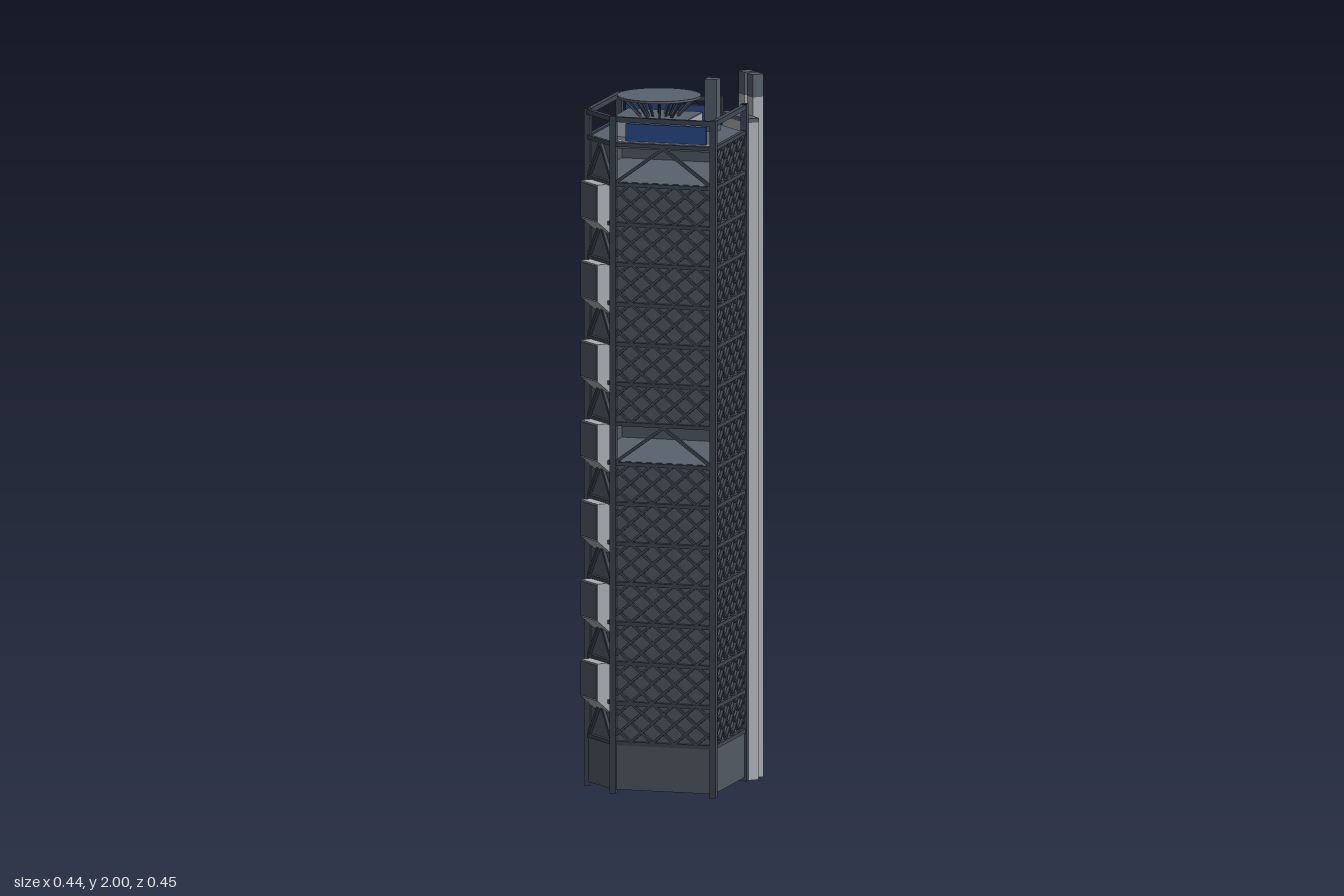
import * as THREE from 'three';
import { mergeGeometries } from 'three/addons/utils/BufferGeometryUtils.js';

const mat = (name, color) => Object.assign(new THREE.MeshStandardMaterial({ color }), { name });

export function createModel() {
  const frame = mat('dark steel', 0x3f4854);
  const panel = mat('slate wall', 0x535a64);
  const slate = mat('slate roof', 0x58616d);
  const pale = mat('pale concrete', 0xabafb3);
  const blue = mat('blue sign', 0x2c4c8c);

  const tower = new THREE.Group();
  tower.name = 'tower';
  const add = (parent, name, geo, material) => {
    const m = new THREE.Mesh(geo, material);
    m.name = name;
    parent.add(m);
    return m;
  };
  const box = (w, h, d, x, y, z) => new THREE.BoxGeometry(w, h, d).translate(x, y, z);
  // straight bar in a face plane
  const bar = (x1, y1, x2, y2, t, z = 0) =>
    new THREE.BoxGeometry(Math.hypot(x2 - x1, y2 - y1), t, t)
      .rotateZ(Math.atan2(y2 - y1, x2 - x1))
      .translate((x1 + x2) / 2, (y1 + y2) / 2, z);

  // six corner posts, counter-clockwise seen from above
  const corners = [[-0.212, 0.11], [-0.105, 0.217], [0.187, 0.217], [0.187, -0.09], [0.082, -0.198], [-0.212, -0.198]];
  const sides = ['boxedCorner', 'front', 'right', 'flueCorner', 'back', 'left'];
  const Y0 = 0.143, ROW = 0.1135, ROWS = 15, TOP = Y0 + ROW * ROWS, RAIL = 1.917;
  const openRows = { front: [7, 14], back: [6, 11] };

  add(tower, 'cornerPosts', mergeGeometries(corners.map(([x, z]) => box(0.018, 1.926, 0.018, x, 0.963, z))), frame);

  // solid six-sided slab
  const slab = (y, h) => {
    const s = new THREE.Shape(corners.map(([x, z]) => new THREE.Vector2(-0.012 + (x + 0.012) * 0.965, -(0.01 + (z - 0.01) * 0.965))));
    return new THREE.ExtrudeGeometry(s, { depth: h, bevelEnabled: false }).rotateX(-Math.PI / 2).translate(0, y, 0);
  };
  add(tower, 'base', slab(0.01, 0.133), panel);
  const floors = [];
  for (let i = 0; i < ROWS; i++) floors.push(slab(Y0 + i * ROW - 0.006, 0.012));
  add(tower, 'floors', mergeGeometries(floors), slate);
  add(tower, 'roof', slab(TOP - 0.012, 0.014), slate);

  // inverted V brace
  const vBrace = (w, y) => [bar(-w / 2, y, 0, y + ROW - 0.012, 0.009), bar(w / 2, y, 0, y + ROW - 0.012, 0.009)];

  // crossing diagonals clipped to one storey
  const lattice = (w, y) => {
    const h = ROW - 0.008, run = h * 1.15, out = [];
    for (const s of [1, -1]) {
      for (let c = -w / 2 - run + 0.035; c < w / 2; c += 0.064) {
        const a = Math.max(c, -w / 2), b = Math.min(c + run, w / 2);
        if (b - a < 0.01) continue;
        out.push(bar(s * a, y + ((a - c) / run) * h, s * b, y + ((b - c) / run) * h, 0.0075, s * 0.001));
      }
    }
    return out;
  };

  // box bay with a sloping underside
  const bayGeometry = (y) => {
    const s = new THREE.Shape([[-0.008, -0.035], [0.037, 0.004], [0.037, ROW - 0.004], [-0.008, ROW - 0.004]].map(([a, b]) => new THREE.Vector2(a, b)));
    return new THREE.ExtrudeGeometry(s, { depth: 0.098, bevelEnabled: false })
      .translate(0, 0, -0.049).rotateY(-Math.PI / 2).translate(0, y, 0);
  };

  sides.forEach((side, i) => {
    const [ax, az] = corners[i], [bx, bz] = corners[(i + 1) % 6];
    const len = Math.hypot(bx - ax, bz - az), w = len - 0.016;
    const g = new THREE.Group();
    g.name = side + 'Side';
    g.position.set((ax + bx) / 2, 0, (az + bz) / 2);
    g.rotation.y = Math.atan2(-(bz - az), bx - ax);
    tower.add(g);
    if (side === 'flueCorner') return;

    const walls = [box(w, 0.128, 0.006, 0, 0.075, 0)];
    const steel = [bar(-len / 2, RAIL, len / 2, RAIL, 0.014)];
    for (let r = 0; r <= ROWS; r++) {
      const y = Y0 + r * ROW;
      steel.push(bar(-len / 2, y, len / 2, y, 0.011));
      if (r === ROWS) break;
      const open = openRows[side]?.includes(r);
      if (!open) walls.push(box(w, ROW, 0.005, 0, y + ROW / 2, -0.008));
      if (side === 'boxedCorner' && r % 2) {
        add(g, 'bay', bayGeometry(y), pale);
        add(g, 'bayWindow', box(0.092, ROW - 0.016, 0.004, 0, y + ROW / 2, 0.038), panel);
      } else steel.push(...(open || side === 'boxedCorner' ? vBrace(w, y + 0.006) : lattice(w, y + 0.004)));
    }
    add(g, side + 'Walls', mergeGeometries(walls), panel);
    add(g, side + 'Bracing', mergeGeometries(steel), frame);
  });

  // service shaft and twin flues on the back corner; local z points outward
  const shaft = new THREE.Group();
  shaft.name = 'serviceShaft';
  shaft.rotation.y = Math.PI * 0.75;
  tower.add(shaft);
  add(shaft, 'shaft', box(0.152, 1.87, 0.038, 0.006, 0.935, 0.221), pale);
  add(shaft, 'shaftCap', box(0.153, 0.012, 0.04, 0.006, 1.876, 0.221), slate);
  for (const s of [-1, 1]) {
    const x = 0.006 + s * 0.0245;
    add(shaft, 'flue', box(0.034, 1.935, 0.034, x, 0.9675, 0.257), pale);
    add(shaft, 'flueCap', box(0.0345, 0.065, 0.0345, x, 1.9675, 0.257), slate);
  }

  // rooftop
  add(tower, 'frontLedge', box(0.28, 0.006, 0.03, 0.041, TOP + 0.004, 0.193), pale);
  add(tower, 'frontSign', box(0.235, 0.052, 0.013, 0.042, TOP + 0.031, 0.191), blue);
  add(tower, 'backSign', box(0.235, 0.052, 0.013, -0.066, TOP + 0.031, -0.171), blue);
  add(tower, 'penthouse', box(0.215, 0.052, 0.165, -0.037, TOP + 0.026, 0.017), pale);
  add(tower, 'penthouseRoof', box(0.217, 0.004, 0.167, -0.037, TOP + 0.054, 0.017), slate);
  add(tower, 'liftTower', box(0.036, 0.15, 0.036, 0.097, TOP + 0.075, -0.076), slate);

  // landing pad on splayed legs
  const pad = new THREE.Group();
  pad.name = 'landingPad';
  pad.position.set(-0.029, 0, 0.025);
  tower.add(pad);
  add(pad, 'padDisc', new THREE.CylinderGeometry(0.118, 0.118, 0.007, 32).translate(0, 1.956, 0), slate);
  const legs = [];
  for (let i = 0; i < 10; i++) {
    const a = (i / 10) * Math.PI * 2;
    legs.push(bar(0.055, 1.9, 0.105, 1.953, 0.006).rotateY(a), bar(0.03, 1.9, 0.055, 1.953, 0.005).rotateY(a));
  }
  add(pad, 'padLegs', mergeGeometries(legs), frame);

  return tower;
}
